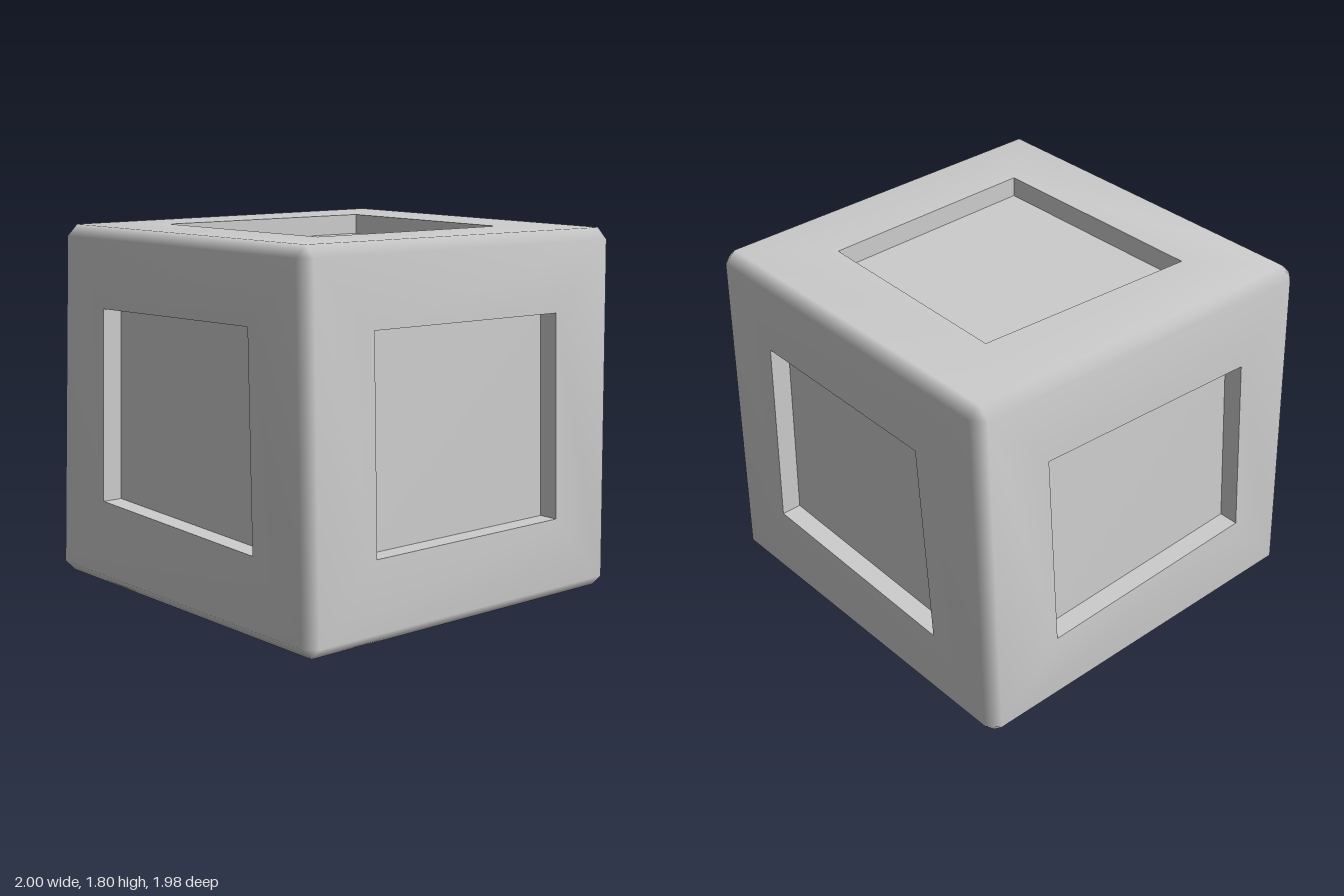
import * as THREE from 'three';

const BEVEL = 0.055, DEPTH = 0.1;
const V = (x, y, z) => new THREE.Vector3(x, y, z);

// Corners of the slightly crooked block; index bits: 1 = +x, 2 = top, 4 = front
const corners = [
  V(-1.0, 0.03, -0.98), V(0.965, 0.015, -0.985), V(-0.93, 1.8, -0.99), V(0.945, 1.78, -0.985),
  V(-0.975, 0.025, 0.99), V(1.0, 0, 0.93), V(-0.96, 1.78, 0.94), V(0.965, 1.78, 0.93),
];

// Faces: corner loop counter-clockwise from outside, axis, outward sign, recess outline.
// The outline is given in the face's own (across, up) coordinates.
const faces = [
  { name: 'front', loop: [4, 5, 7, 6], axis: 2, sign: 1, at: (u, v) => V(u, v, 0),
    panel: [[-0.575, 0.445], [0.61, 0.4], [0.58, 1.41], [-0.575, 1.39]] },
  { name: 'plusX', loop: [5, 1, 3, 7], axis: 0, sign: 1, at: (u, v) => V(0, v, -u),
    panel: [[-0.54, 0.395], [0.6, 0.405], [0.585, 1.395], [-0.545, 1.4]] },
  { name: 'back', loop: [1, 0, 2, 3], axis: 2, sign: -1, at: (u, v) => V(-u, v, 0),
    panel: [[-0.59, 0.425], [0.59, 0.4], [0.51, 1.4], [-0.57, 1.4]] },
  { name: 'minusX', loop: [0, 4, 6, 2], axis: 0, sign: -1, at: (u, v) => V(0, v, u),
    panel: [[-0.57, 0.4], [0.64, 0.44], [0.59, 1.375], [-0.61, 1.4]] },
  { name: 'top', loop: [6, 7, 3, 2], axis: 1, sign: 1, at: (u, v) => V(u, 0, -v),
    panel: [[-0.575, -0.56], [0.585, -0.55], [0.555, 0.575], [-0.53, 0.6]] },
  { name: 'bottom', loop: [0, 1, 5, 4], axis: 1, sign: -1 },
];

// Corner c pulled in along both directions lying in the face with this axis
function inFace(c, axis) {
  const p = corners[c].clone();
  for (let k = 0; k < 3; k++) {
    if (k !== axis) p.setComponent(k, p.getComponent(k) + (c & (1 << k) ? -BEVEL : BEVEL));
  }
  return p;
}

// Recess outline, laid on the surface of the face
function rimOf(face) {
  const d = face.loop.map((c) => corners[c].getComponent(face.axis));
  return face.panel.map(([u, v]) => {
    const s = (u + 0.96) / 1.92;
    const t = face.name === 'top' ? (v + 0.96) / 1.92 : v / 1.79;
    const depth = (1 - t) * ((1 - s) * d[0] + s * d[1]) + t * ((1 - s) * d[3] + s * d[2]);
    return face.at(u, v).setComponent(face.axis, depth);
  });
}

function geometryFrom(points, index) {
  const g = new THREE.BufferGeometry().setFromPoints(points);
  g.setIndex(index);
  return g;
}

// Outer shell: face frames, bevelled edges and corners, smoothly shaded
function shellGeometry() {
  const points = [], index = [];
  const id = (c, axis) => c * 3 + axis;
  for (let c = 0; c < 8; c++) for (let a = 0; a < 3; a++) points.push(inFace(c, a));

  const centre = V(0, 0.9, 0);
  const addOutward = (a, b, c) => {
    const n = points[b].clone().sub(points[a]).cross(points[c].clone().sub(points[a]));
    const outward = n.dot(points[a].clone().sub(centre)) > 0;
    index.push(a, ...(outward ? [b, c] : [c, b]));
  };
  const quad = (a, b, c, d) => { addOutward(a, b, c); addOutward(a, c, d); };

  for (const face of faces) {
    const outer = face.loop.map((c) => id(c, face.axis));
    if (!face.panel) { quad(...outer); continue; }
    const first = points.length;
    points.push(...rimOf(face));
    for (let i = 0; i < 4; i++) {
      const j = (i + 1) % 4;
      quad(outer[i], outer[j], first + j, first + i);
    }
  }
  for (let c = 0; c < 8; c++) {
    addOutward(id(c, 0), id(c, 1), id(c, 2));
    for (let k = 0; k < 3; k++) {
      if (c & (1 << k)) continue;
      const e = c | (1 << k), m = (k + 1) % 3, n = (k + 2) % 3;
      quad(id(c, m), id(e, m), id(e, n), id(c, n));
    }
  }
  const g = geometryFrom(points, index);
  g.computeVertexNormals();
  return g;
}

// Recess: four walls and a floor, flat shaded
function recessGeometry(face) {
  const rim = rimOf(face);
  const floor = rim.map((p) => {
    const q = p.clone();
    return q.setComponent(face.axis, q.getComponent(face.axis) - face.sign * DEPTH);
  });
  const index = [4, 5, 6, 4, 6, 7];
  for (let i = 0; i < 4; i++) {
    const j = (i + 1) % 4;
    index.push(i, j, 4 + j, i, 4 + j, 4 + i);
  }
  const g = geometryFrom([...rim, ...floor], index).toNonIndexed();
  g.computeVertexNormals();
  return g;
}

export function createModel() {
  const group = new THREE.Group();
  group.name = 'recessedBlock';
  const grey = new THREE.MeshStandardMaterial({ color: 0xcccccc });
  grey.name = 'grey';

  const add = (name, geometry) => {
    const mesh = new THREE.Mesh(geometry, grey);
    mesh.name = name;
    group.add(mesh);
  };
  add('blockShell', shellGeometry());
  for (const face of faces) if (face.panel) add(face.name + 'Recess', recessGeometry(face));
  return group;
}
